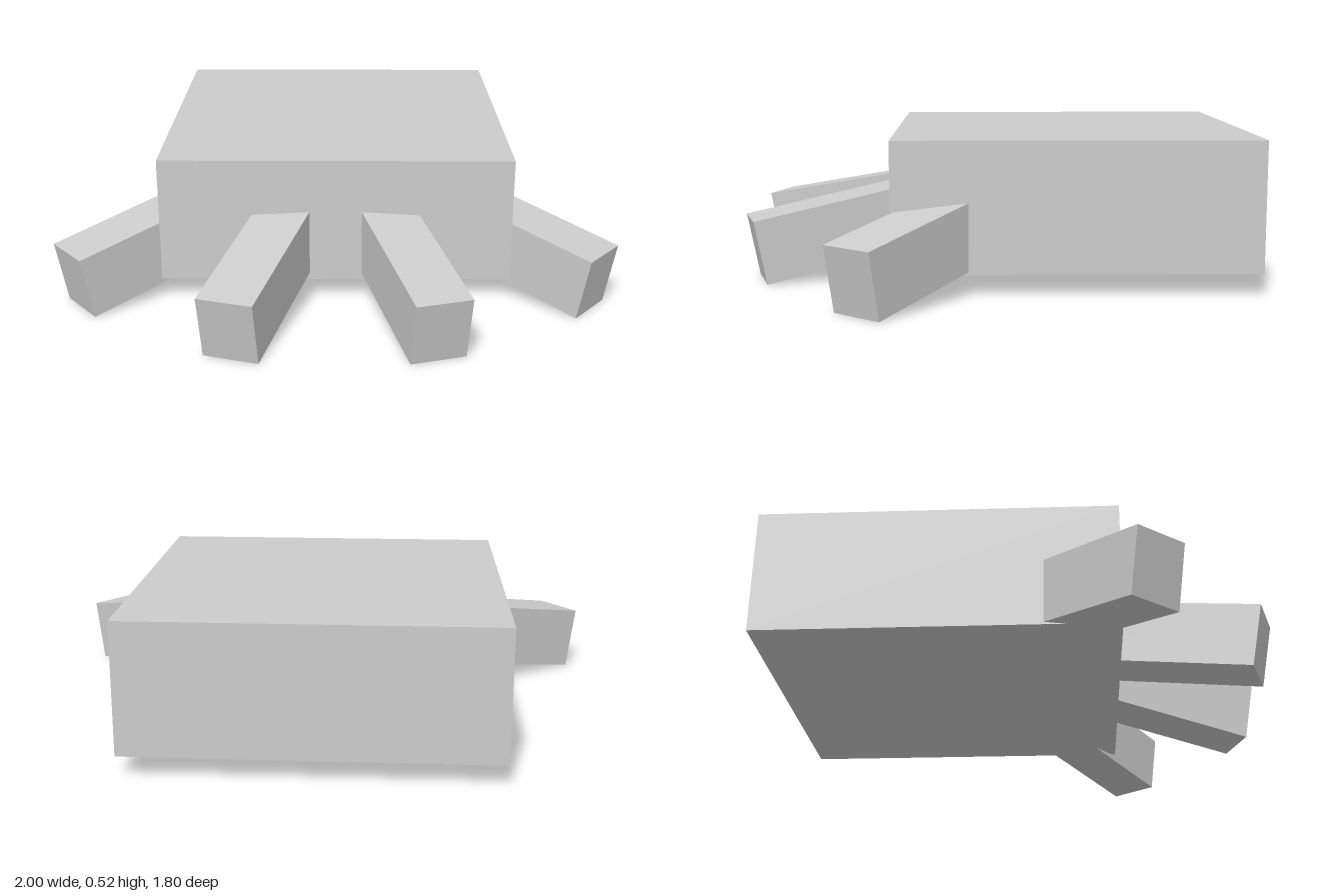
import * as THREE from 'three';

export function createModel() {
  const model = new THREE.Group();
  const grey = new THREE.MeshStandardMaterial({ color: 0xcccccc });
  grey.name = 'plain grey';

  // Flat slab body
  const body = new THREE.Mesh(new THREE.BoxGeometry(1.254, 0.45, 1.254), grey);
  body.name = 'body';
  body.position.set(0, 0.3, -0.273);
  model.add(body);

  // Legs: origin at the top edge of the foot, running back and up into the body
  const width = 0.196, height = 0.229, length = 0.72;
  const legGeometry = new THREE.BoxGeometry(width, height, length);
  legGeometry.translate(0, -height / 2, -length / 2);
  const legs = [
    { name: 'InnerLeg', x: 0.353, z: 0.867, yaw: 0.298 },
    { name: 'OuterLeg', x: 0.938, z: 0.468, yaw: 0.893 },
  ];
  for (const side of [1, -1]) {
    for (const { name, x, z, yaw } of legs) {
      const leg = new THREE.Mesh(legGeometry, grey);
      leg.name = (side > 0 ? 'left' : 'right') + name;
      leg.position.set(side * x, 0.225, z);
      leg.rotation.set(0.19, side * yaw, 0, 'YXZ');
      model.add(leg);
    }
  }
  return model;
}
